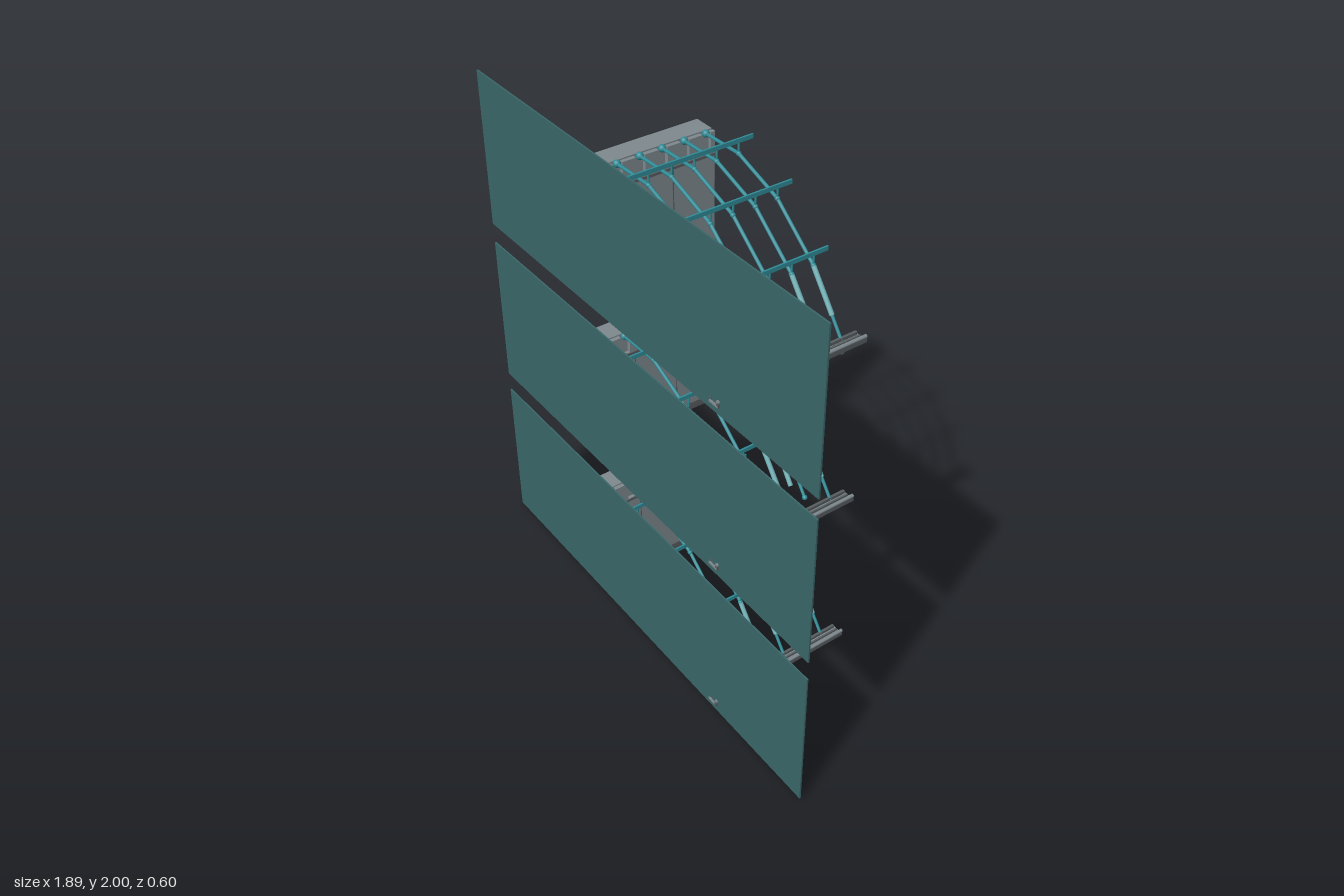
import * as THREE from 'three';

const mat = (name, color, side = THREE.FrontSide) => {
  const m = new THREE.MeshStandardMaterial({ color, side });
  m.name = name;
  return m;
};

export function createModel() {
  const panelMat = mat('deep teal panel', 0x3a6668);
  const grey = mat('cabinet grey', 0x7e898e);
  const dark = mat('dark grey trim', 0x585d60);
  const teal = mat('teal metal', 0x2f8c97);
  const pale = mat('pale teal sleeve', 0x6fb0b5);

  // box given by its limits on each axis
  const box = (parent, name, m, [x0, x1], [y0, y1], [z0, z1]) => {
    const mesh = new THREE.Mesh(new THREE.BoxGeometry(x1 - x0, y1 - y0, z1 - z0), m);
    mesh.position.set((x0 + x1) / 2, (y0 + y1) / 2, (z0 + z1) / 2);
    mesh.name = name;
    parent.add(mesh);
    return mesh;
  };
  // round rod between two points
  const rod = (parent, name, m, a, b, r) => {
    const p = new THREE.Vector3(...a), q = new THREE.Vector3(...b);
    const mesh = new THREE.Mesh(new THREE.CylinderGeometry(r, r, p.distanceTo(q), 10), m);
    mesh.position.copy(p).lerp(q, 0.5);
    mesh.quaternion.setFromUnitVectors(new THREE.Vector3(0, 1, 0), q.sub(p).normalize());
    mesh.name = name;
    parent.add(mesh);
  };
  const ball = (parent, name, m, p, r) => {
    const mesh = new THREE.Mesh(new THREE.SphereGeometry(r, 12, 8), m);
    mesh.position.set(...p);
    mesh.name = name;
    parent.add(mesh);
  };

  const armZ = [-0.23, -0.14, -0.05, 0.04, 0.13, 0.22];

  function cabinet() {
    const g = new THREE.Group();
    g.name = 'cabinet';
    box(g, 'cabinetBody', grey, [-0.42, -0.335], [0.04, 0.455], [-0.272, 0.272]);
    box(g, 'cabinetTop', grey, [-0.42, -0.335], [0.455, 0.485], [-0.262, 0.262]);
    box(g, 'innerPanel', grey, [-0.335, -0.322], [0.06, 0.4], [-0.265, 0.265]);
    box(g, 'innerTopRail', dark, [-0.335, -0.319], [0.388, 0.398], [-0.268, 0.268]);
    box(g, 'bottomLedge', dark, [-0.425, -0.312], [0.025, 0.055], [-0.275, 0.275]);
    for (const z of [-0.09, 0.09]) box(g, 'innerSeam', dark, [-0.324, -0.32], [0.06, 0.39], [z - 0.002, z + 0.002]);

    // toothed lip, one gap for each arm
    const edges = [-0.265, ...armZ.flatMap(z => [z - 0.018, z + 0.018]), 0.265];
    for (let i = 0; i < edges.length; i += 2)
      box(g, 'lipTooth', grey, [-0.335, -0.319], [0.398, 0.48], [edges[i], edges[i + 1]]);

    // outer face plates and handles
    for (const [a, b] of [[-0.265, -0.2], [-0.194, 0.06], [0.066, 0.14], [0.146, 0.265]])
      box(g, 'outerPlate', grey, [-0.426, -0.419], [0.06, 0.475], [a, b]);
    for (const z of [-0.225, 0, 0.22])
      box(g, 'handle', dark, [-0.44, -0.425], [0.225, 0.255], [z - 0.011, z + 0.011]);

    // end fittings on both sides
    for (const s of [-1, 1]) {
      const span = (a, b) => s > 0 ? [a, b] : [-b, -a];
      box(g, 'endFrame', dark, [-0.418, -0.408], [0.06, 0.45], span(0.27, 0.277));
      box(g, 'endFrame', dark, [-0.347, -0.337], [0.06, 0.45], span(0.27, 0.277));
      for (const y of [0.11, 0.18, 0.25, 0.33, 0.41])
        rod(g, 'endKnob', dark, [-0.378, y, s * 0.27], [-0.378, y, s * 0.288], 0.014);
      box(g, 'endLatch', dark, [-0.405, -0.35], [0.06, 0.085], span(0.27, 0.286));
    }
    return g;
  }

  function footRail() {
    const g = new THREE.Group();
    g.name = 'footRail';
    box(g, 'railPlate', grey, [0.42, 0.465], [0.038, 0.046], [-0.3, 0.3]);
    box(g, 'innerLip', dark, [0.416, 0.426], [0.03, 0.058], [-0.295, 0.295]);
    box(g, 'middleRib', dark, [0.436, 0.443], [0.03, 0.054], [-0.295, 0.295]);
    box(g, 'outerLip', dark, [0.458, 0.468], [0.038, 0.06], [-0.3, 0.3]);
    rod(g, 'outerBead', grey, [0.463, 0.06, -0.3], [0.463, 0.06, 0.3], 0.007);
    for (const z of armZ) box(g, 'railPeg', dark, [0.425, 0.435], [0, 0.035], [z - 0.006, z + 0.006]);
    return g;
  }

  // jointed arm; a loose one swings sideways and drops its lower rod
  function arm(z, loose) {
    const g = new THREE.Group();
    g.name = loose ? 'looseArm' : 'arm';
    const shift = loose ? 0.03 : 0;
    const joints = loose
      ? [[-0.325, 0.478, z], [-0.14, 0.482, z], [0.07, 0.41, z + shift * 0.4], [0.23, 0.27, z + shift * 0.75], [0.345, 0.12, z + shift]]
      : [[-0.325, 0.478, z], [-0.14, 0.482, z], [0.07, 0.41, z], [0.265, 0.255, z], [0.37, 0.118, z]];
    for (let i = 0; i < 4; i++) {
      const sleeve = i === 3;
      rod(g, sleeve ? 'armSleeve' : 'armRod', sleeve ? pale : teal, joints[i], joints[i + 1], sleeve ? 0.009 : 0.0065);
      if (i) ball(g, 'armJoint', teal, joints[i], 0.0095);
    }
    ball(g, 'armRoot', teal, joints[0], 0.014);
    if (loose) {
      rod(g, 'looseRod', teal, [0.235, 0.25, z - 0.013], [0.385, 0.065, z - 0.007], 0.006);
      ball(g, 'looseRodEnd', teal, [0.235, 0.25, z - 0.013], 0.01);
      ball(g, 'looseRodEnd', teal, [0.38, 0.07, z - 0.008], 0.01);
    } else {
      rod(g, 'armFoot', teal, joints[4], [0.423, 0.048, z], 0.006);
    }
    return g;
  }

  function tier(looseArms) {
    const g = new THREE.Group();
    g.name = 'tier';
    box(g, 'frontPanel', panelMat, [-0.945, 0.945], [0.01, 0.62], [0.288, 0.294]);
    g.add(cabinet(), footRail());
    armZ.forEach((z, i) => g.add(arm(z, looseArms && (i === 1 || i === 4))));
    // cross bars on short posts
    for (const [x, y, low] of [[-0.14, 0.53, 0.482], [0.07, 0.455, 0.41], [0.265, 0.3, 0.255]]) {
      box(g, 'crossBar', teal, [x - 0.0035, x + 0.0035], [y - 0.008, y + 0.008], [-0.288, 0.288]);
      for (const z of armZ) rod(g, 'barPost', teal, [x, low, z], [x, y, z], 0.004);
    }
    return g;
  }

  const model = new THREE.Group();
  model.name = 'stackedTiers';
  for (let i = 0; i < 3; i++) {
    const t = tier(i === 1);
    t.position.y = i * 0.69;
    model.add(t);
  }
  return model;
}
